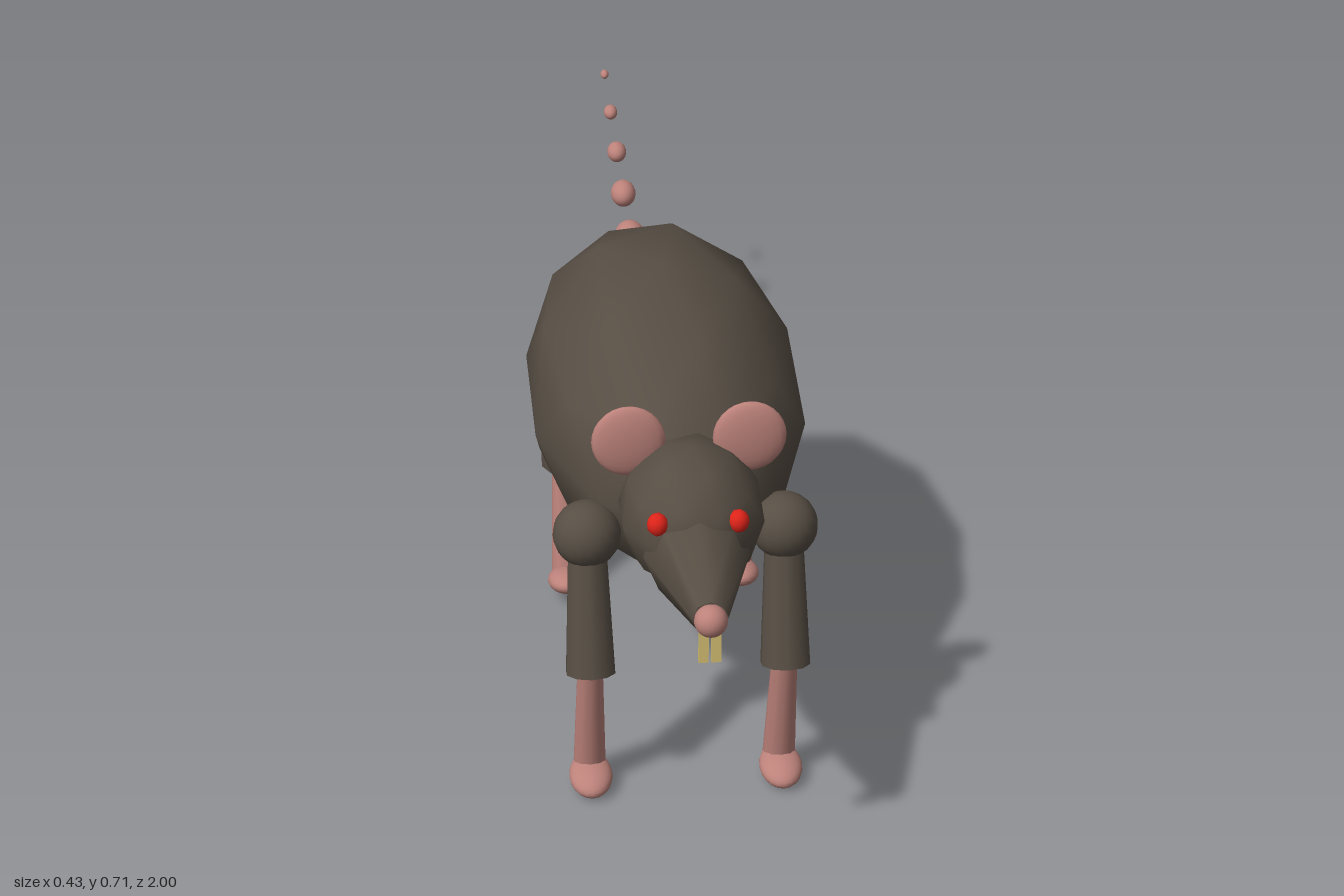
import * as THREE from 'three';

const material = (name, color) => {
  const m = new THREE.MeshStandardMaterial({ color });
  m.name = name;
  return m;
};

export function createModel() {
  const model = new THREE.Group();
  model.name = 'rodent';
  const fur = material('dark fur', 0x574e44);
  const skin = material('pink skin', 0xbc827a);
  const red = material('red eye', 0xe0241a);
  const ivory = material('yellow tooth', 0xd8c274);

  // Coarse smooth ball with one vertex straight up
  const coarse = new THREE.IcosahedronGeometry(1, 1);
  coarse.rotateX(-Math.atan((1 + Math.sqrt(5)) / 2));
  coarse.rotateY(Math.PI / 2);
  const round = new THREE.SphereGeometry(1, 20, 14);

  const add = (name, geometry, mat, pos, scale = [1, 1, 1], tilt = 0, parent = model) => {
    const mesh = new THREE.Mesh(geometry, mat);
    mesh.name = name;
    mesh.position.set(...pos);
    mesh.scale.set(...scale);
    mesh.rotation.x = tilt;
    parent.add(mesh);
    return mesh;
  };

  // Tapered limb from point a to point b
  const limb = (name, mat, a, b, ra, rb, sides, parent = model) => {
    const from = new THREE.Vector3(...a), to = new THREE.Vector3(...b);
    const dir = to.clone().sub(from);
    const mesh = add(name, new THREE.CylinderGeometry(rb, ra, dir.length(), sides), mat,
      from.clone().add(to).multiplyScalar(0.5).toArray(), [1, 1, 1], 0, parent);
    mesh.quaternion.setFromUnitVectors(new THREE.Vector3(0, 1, 0), dir.normalize());
    return mesh;
  };

  // Body, head and snout
  add('body', coarse, fur, [0, 0.49, 0.25], [0.225, 0.225, 0.45]);
  add('head', coarse, fur, [0, 0.52, 0.7], [0.11, 0.11, 0.135]);
  limb('snout', fur, [0, 0.495, 0.785], [0, 0.5, 0.97], 0.079, 0.026, 8);
  add('nose', round, skin, [0, 0.5, 0.976], [0.024, 0.024, 0.024]);

  // Paired face parts and legs
  for (const s of [1, -1]) {
    const side = s > 0 ? 'left' : 'right';
    add(side + 'Eye', coarse, red, [s * 0.059, 0.557, 0.8], [0.016, 0.018, 0.016]);
    add(side + 'Ear', round, skin, [s * 0.09, 0.623, 0.666], [0.055, 0.057, 0.015]);
    add(side + 'Tooth', new THREE.BoxGeometry(0.014, 0.056, 0.009), ivory, [s * 0.009, 0.455, 0.966]);

    const legs = [
      { name: 'FrontLeg', r: 0.052, hip: [0.445, 0.625], knee: [0.23, 0.677],
        shin: [0.235, 0.668], ankle: [0.03, 0.63], foot: [0.025, 0.656], tilt: 0.15 },
      { name: 'BackLeg', r: 0.047, hip: [0.435, 0.058], knee: [0.235, 0.016],
        shin: [0.24, 0.019], ankle: [0.04, 0.06], foot: [0.042, 0.092], tilt: -0.2 },
    ];
    for (const leg of legs) {
      const g = new THREE.Group();
      g.name = side + leg.name;
      model.add(g);
      const p = ([y, z]) => [s * 0.15, y, z];
      add('legJoint', round, fur, p(leg.hip), [leg.r, leg.r, leg.r], 0, g);
      limb('upperLeg', fur, p(leg.hip), p(leg.knee), 0.029, 0.039, 10, g);
      limb('lowerLeg', skin, p(leg.shin), p(leg.ankle), 0.02, 0.026, 10, g);
      add('foot', round, skin, p(leg.foot), [0.034, 0.021, 0.049], leg.tilt, g);
    }
  }

  // Tail of shrinking separate beads
  const beads = [0.033, 0.028, 0.023, 0.018, 0.013, 0.008];
  beads.forEach((r, i) => {
    add('tailBead' + (i + 1), round, skin, [0, 0.453 + i * 0.02, -0.233 - i * 0.1505],
      [r, r, r * 1.2 + 0.003], 0.13);
  });

  return model;
}
